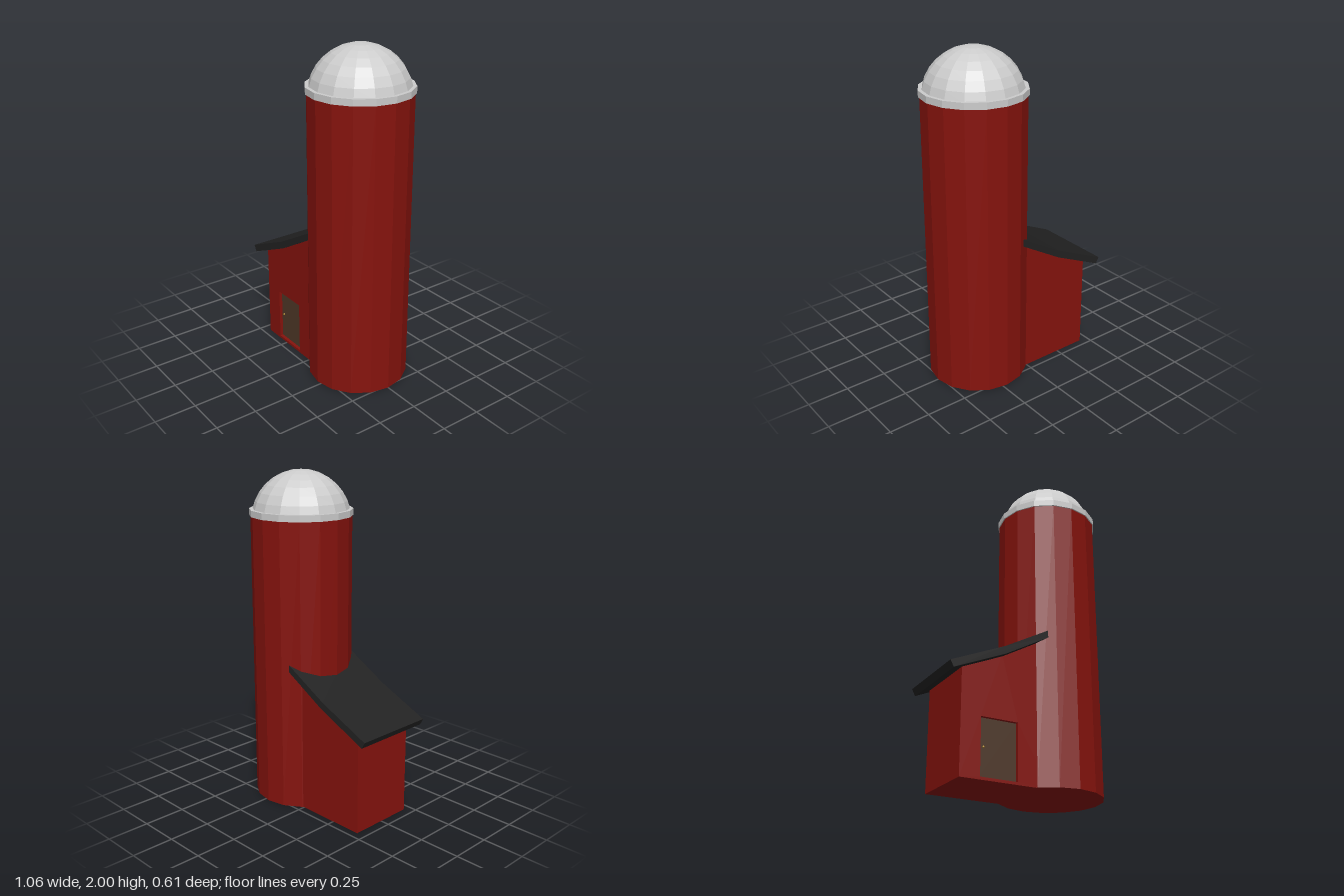
import * as THREE from 'three';

const SIDES = 16;
const SILO_X = 0.222;
const WALL_Z = 0.205; // half depth of the shed
const RECESS = 0.025; // depth of the doorway

const paint = (color) => new THREE.MeshStandardMaterial({ color, flatShading: true });

function part(name, geometry, material, x = 0, y = 0, z = 0) {
  const mesh = new THREE.Mesh(geometry, material);
  mesh.name = name;
  mesh.position.set(x, y, z);
  return mesh;
}

const outline = (pts) => new THREE.Shape(pts.map(([x, y]) => new THREE.Vector2(x, y)));

const extrude = (shape, z0, z1) =>
  new THREE.ExtrudeGeometry(shape, { depth: z1 - z0, bevelEnabled: false }).translate(0, 0, z0);

export function createModel() {
  const red = paint(0x86130d);
  const grey = paint(0xcccccc);
  const black = paint(0x222222);
  const brown = paint(0x4f3828);
  const brass = paint(0xb8902e);

  // Silo: faceted tower, rim band and dome
  const silo = new THREE.Group();
  silo.name = 'silo';
  silo.position.x = SILO_X;
  silo.add(part('tower', new THREE.CylinderGeometry(0.298, 0.298, 1.745, SIDES), red, 0, 0.8725, 0));
  const band = [[0.28, 1.737], [0.305, 1.737], [0.305, 1.775], [0.28, 1.775], [0.28, 1.737]]
    .map(([r, y]) => new THREE.Vector2(r, y));
  silo.add(part('rim', new THREE.LatheGeometry(band, SIDES), grey));
  silo.add(part('dome',
    new THREE.SphereGeometry(0.292, SIDES, 8, 0, Math.PI * 2, 0, Math.PI / 2), grey, 0, 1.708, 0));

  // Shed: solid body plus a front wall layer with the doorway cut out
  const shed = new THREE.Group();
  shed.name = 'shed';
  const wall = [[-0.444, 0], [0.1, 0], [0.1, 0.88], [0.06, 0.865], [-0.202, 0.715], [-0.444, 0.605]];
  const front = outline(wall);
  const [dx0, dx1, dy0, dy1] = [-0.325, -0.103, 0.016, 0.339];
  front.holes.push(new THREE.Path(
    [[dx0, dy0], [dx0, dy1], [dx1, dy1], [dx1, dy0]].map(([x, y]) => new THREE.Vector2(x, y))));
  shed.add(part('shedBody', extrude(outline(wall), -WALL_Z, WALL_Z - RECESS), red));
  shed.add(part('frontWall', extrude(front, WALL_Z - RECESS, WALL_Z), red));

  // Door set back in the doorway, with a small knob
  shed.add(part('door', new THREE.BoxGeometry(dx1 - dx0, dy1 - dy0, 0.01), brown,
    (dx0 + dx1) / 2, (dy0 + dy1) / 2, WALL_Z - RECESS));
  shed.add(part('doorKnob', new THREE.SphereGeometry(0.006, 8, 6), brass,
    -0.3, 0.18, WALL_Z - RECESS + 0.009));

  // Lean-to roof, slightly kinked, overhanging the shed walls
  const roof = outline([[-0.513, 0.562], [-0.2, 0.704], [0.069, 0.86],
    [0.069, 0.903], [-0.209, 0.746], [-0.533, 0.6]]);
  shed.add(part('roof', extrude(roof, -0.25, 0.25), black));

  const model = new THREE.Group();
  model.name = 'barnSilo';
  model.add(silo, shed);
  return model;
}
